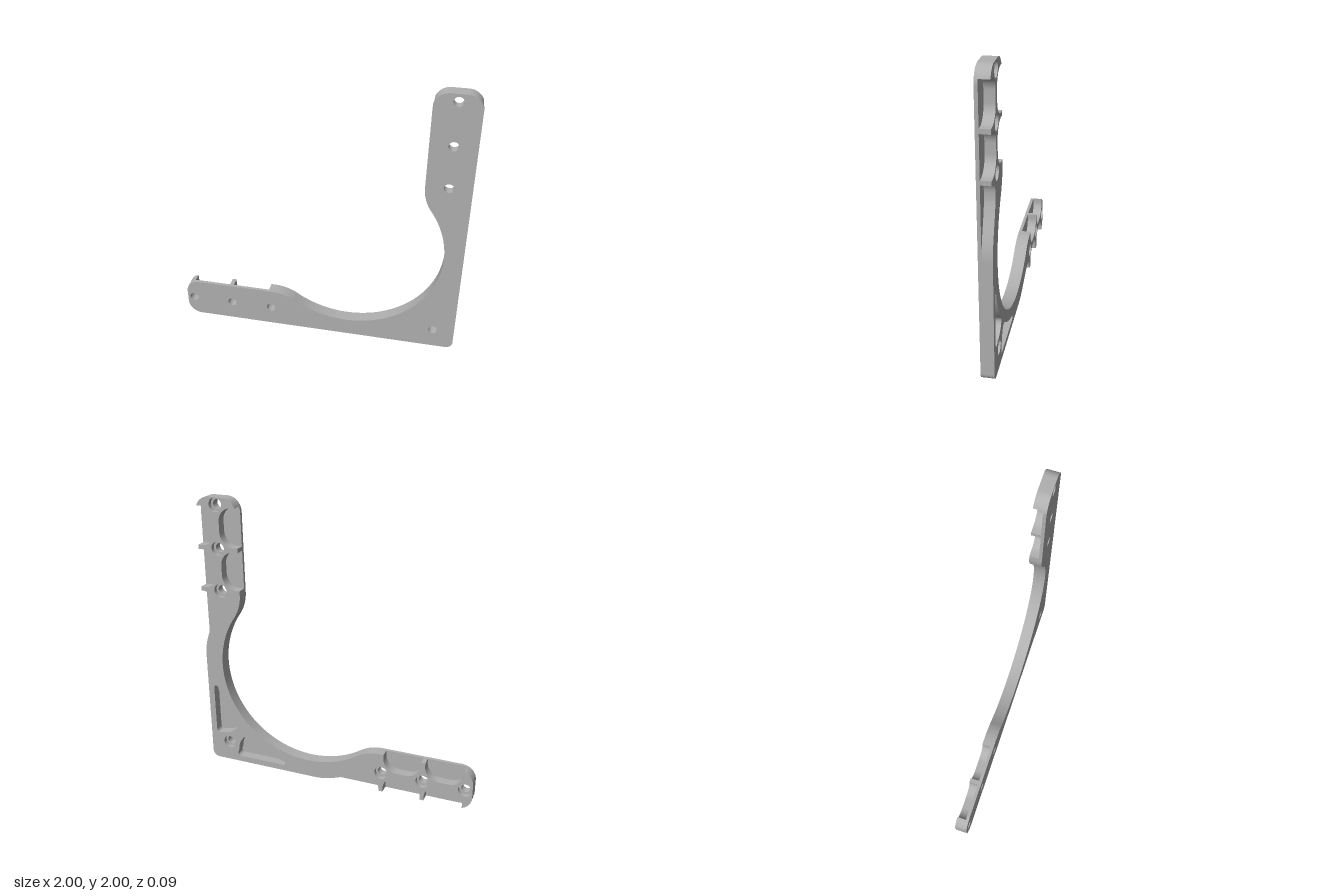
import * as THREE from 'three';
import { toCreasedNormals } from 'three/addons/utils/BufferGeometryUtils.js';

const PI = Math.PI;
const BACK = -0.044, STEP = -0.012, FLOOR = 0.022, FRONT = 0.044;
const HOLE = 0.032, BORE = 0.048;

// All outlines use (u, v): u runs inward from the outer upright edge, v runs up.
// The bracket is symmetric when u and v are swapped.
const swap = (pts) => pts.map((p) => new THREE.Vector2(p.y, p.x));
const place = (pts) => pts
  .filter((p, i) => p.distanceTo(pts[(i + 1) % pts.length]) > 1e-5)
  .map((p) => new THREE.Vector2(1 - p.x, p.y));

// Joins a half outline (diagonal to diagonal) to its mirror image
const mirrorHalf = (half) => half.concat(swap(half).reverse().slice(1, -1));

// Inner edge: S-bend from the arm into the big round cutout, ending on the diagonal
function innerEdge(path) {
  const a = Math.atan2(0.545, 0.79);
  const r = Math.hypot(0.545, 0.79) - 0.3;
  path.lineTo(0.3, 1.335);
  path.absarc(0, 1.335, 0.3, 0, -a, true);
  path.absarc(0.79, 0.79, r, PI - a, PI * 1.25, false);
}

function cornerStart() {
  const path = new THREE.Path();
  const c = 0.05 * (1 - Math.SQRT1_2);
  path.moveTo(c, c);
  path.absarc(0.05, 0.05, 0.05, PI * 1.25, PI, true);
  return path;
}

function plateOutline() {
  const path = cornerStart();
  path.lineTo(0, 1.9);
  path.absarc(0.1, 1.9, 0.1, PI, PI / 2, true);
  path.absarc(0.2, 1.9, 0.1, PI / 2, 0, true);
  innerEdge(path);
  return mirrorHalf(path.getPoints(24));
}

// Raised body: spine and cross ribs left standing between the side pockets
function bodyOutline() {
  const path = cornerStart();
  const tip = Math.asin(0.35);
  // long tapering pocket on the outer edge
  path.lineTo(0, 0.84);
  path.bezierCurveTo(0, 0.98, 0.06, 1.05, 0.095, 1.2);
  path.lineTo(0.095, 1.24);
  path.quadraticCurveTo(0.095, 1.335, 0, 1.335);
  // outer pockets, going up
  for (const v of [1.365, 1.665]) {
    path.lineTo(0, v);
    path.absarc(0.03, v + 0.1, 0.1, -PI / 2, 0, false);
    path.absarc(0.03, v + 0.17, 0.1, 0, PI / 2, false);
    if (v < 1.5) path.lineTo(0, v + 0.27);
  }
  // end cap
  path.absarc(0.1, 1.9, 0.1, PI - tip, PI / 2, true);
  path.absarc(0.2, 1.9, 0.1, PI / 2, tip, true);
  // inner pockets, going down
  for (const v of [1.665, 1.365]) {
    if (v < 1.5) path.lineTo(0.3, v + 0.27);
    path.absarc(0.27, v + 0.17, 0.1, PI / 2, PI, false);
    path.absarc(0.27, v + 0.1, 0.1, PI, PI * 1.5, false);
    path.lineTo(0.3, v);
  }
  innerEdge(path);
  return mirrorHalf(path.getPoints(24));
}

// Curved triangular pocket beside the corner hole
function cornerSlot() {
  const path = new THREE.Path();
  path.moveTo(0.25, 0.045);
  path.lineTo(0.585, 0.045);
  path.absarc(0.588, 0.062, 0.017, -PI / 2, PI / 2, false);
  path.absarc(0.79, 0.79, 0.74, 4.432, 4.042, true);
  path.quadraticCurveTo(0.3, 0.235, 0.27, 0.21);
  path.quadraticCurveTo(0.225, 0.16, 0.225, 0.1);
  path.quadraticCurveTo(0.2, 0.045, 0.25, 0.045);
  return path.getPoints(16);
}

// Screw hole centres: one in the corner, three on each arm
const holeCentres = [[0.15, 0.15]];
for (const d of [1.35, 1.65, 1.949]) holeCentres.push([0.15, d], [d, 0.15]);

function roundHoles(radius) {
  return holeCentres.map(([u, v]) =>
    new THREE.Path().absarc(u, v, radius, 0, PI * 2, false).getPoints(32));
}

function layer(name, outline, holes, z0, z1, material) {
  const shape = new THREE.Shape(place(outline));
  shape.holes = holes.map((h) => new THREE.Path(place(h)));
  const geo = new THREE.ExtrudeGeometry(shape, { depth: z1 - z0, bevelEnabled: false });
  geo.translate(0, 0, z0);
  const mesh = new THREE.Mesh(toCreasedNormals(geo, 0.6), material);
  mesh.name = name;
  return mesh;
}

export function createModel() {
  const grey = new THREE.MeshStandardMaterial({ color: 0xb0b0b0 });
  grey.name = 'grey';

  const group = new THREE.Group();
  group.name = 'cornerBracket';
  const slot = cornerSlot();
  const slots = [slot, swap(slot)];
  const body = bodyOutline();

  // front plate, ribbed body, and the back of the body with wider screw-head bores
  group.add(
    layer('frontPlate', plateOutline(), roundHoles(HOLE), FLOOR, FRONT, grey),
    layer('ribbedBody', body, [...roundHoles(HOLE), ...slots], STEP, FLOOR, grey),
    layer('boredBack', body, [...roundHoles(BORE), ...slots], BACK, STEP, grey),
  );
  return group;
}
